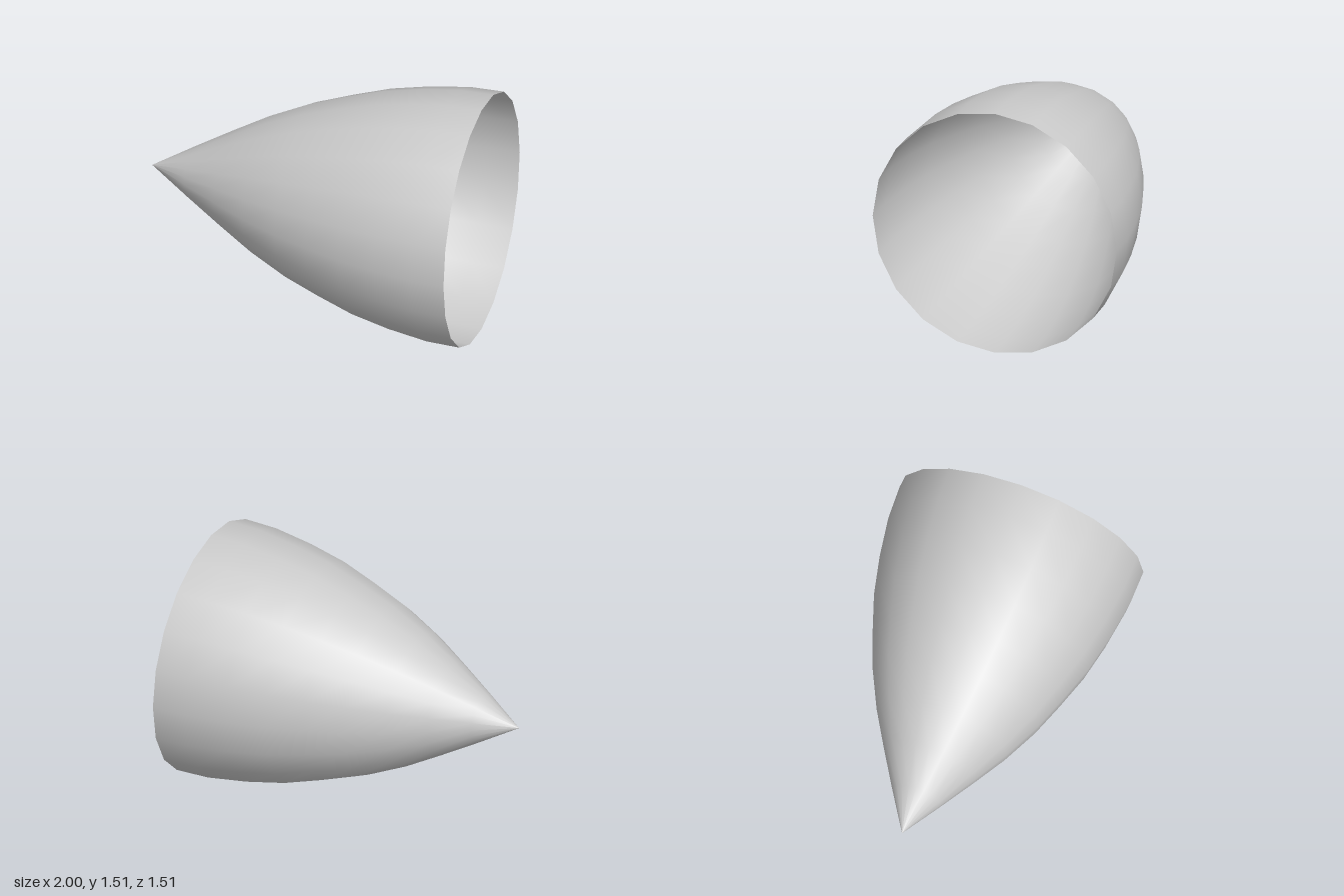
import * as THREE from 'three';

export function createModel() {
  const group = new THREE.Group();
  group.name = 'noseCone';

  // Ogive profile: [position along the axis, radius], from tip to open rim
  const profile = [
    [-1, 0], [-0.76, 0.15], [-0.54, 0.283], [-0.33, 0.405], [-0.1, 0.515],
    [0.11, 0.592], [0.33, 0.665], [0.56, 0.715], [0.8, 0.75], [1, 0.755],
  ].map(([along, radius]) => new THREE.Vector2(radius, along));

  // Thin open shell with 20 sides, laid on its side with the tip towards -x
  const geometry = new THREE.LatheGeometry(profile, 20);
  geometry.rotateZ(-Math.PI / 2);
  geometry.translate(0, 0.755, 0);

  const shell = new THREE.Mesh(
    geometry,
    new THREE.MeshStandardMaterial({ color: 0xcccccc, side: THREE.DoubleSide })
  );
  shell.name = 'shell';
  group.add(shell);
  return group;
}
